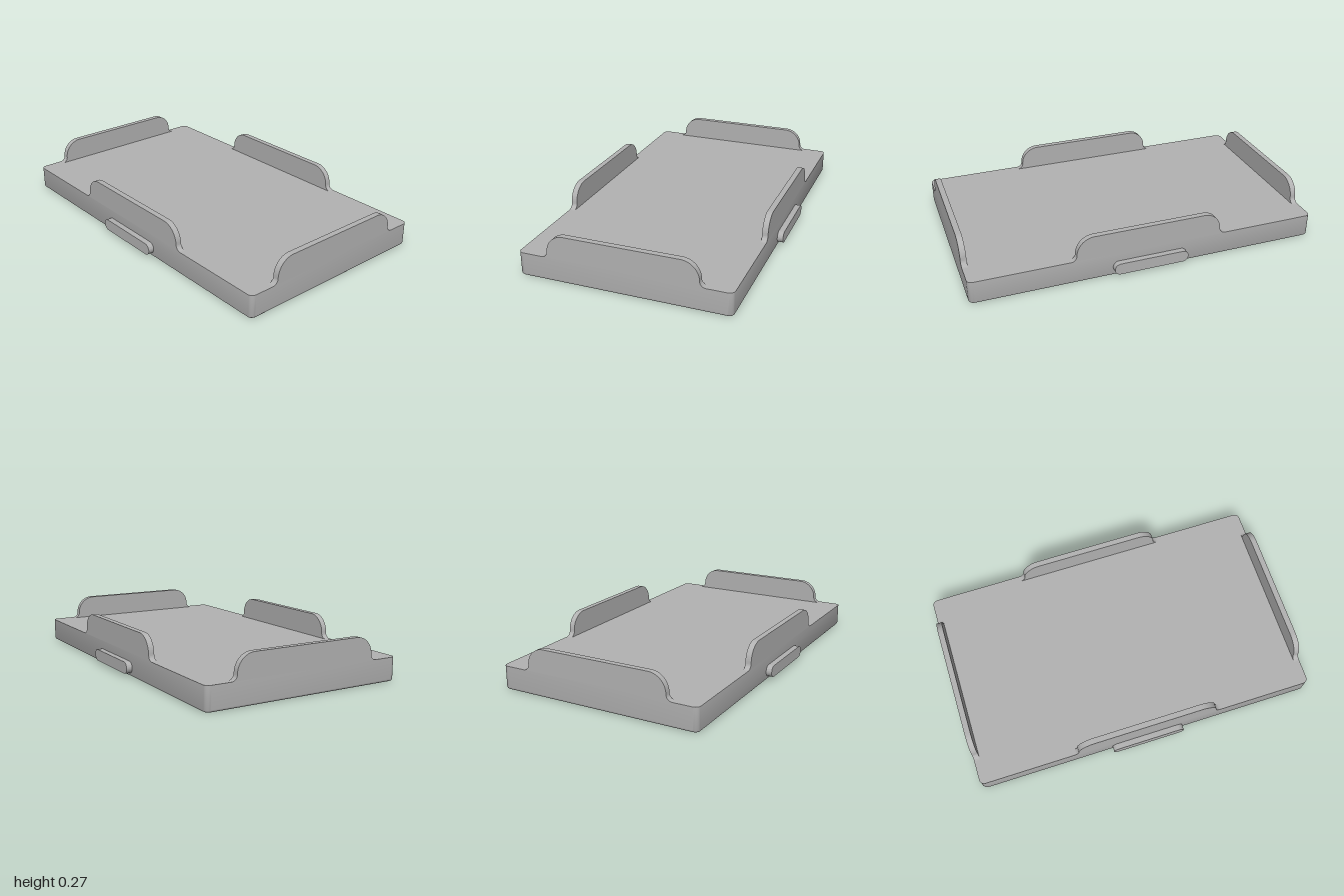
import * as THREE from 'three';
import { toCreasedNormals } from 'three/addons/utils/BufferGeometryUtils.js';

const HALF_W = 0.59, HALF_L = 1, DECK = 0.134;
const CORNER = 0.03, FILLET = 0.015, WALL = 0.033;

// Rounded rectangle outline at height y, pulled in by inset
function outline(inset, y) {
  const points = [], steps = 6, r = CORNER - inset;
  const signs = [[1, 1], [-1, 1], [-1, -1], [1, -1]];
  signs.forEach(([sx, sz], corner) => {
    for (let i = 0; i <= steps; i++) {
      const a = (corner + i / steps) * Math.PI / 2;
      points.push([
        sx * (HALF_W - CORNER) + r * Math.cos(a), y,
        sz * (HALF_L - CORNER) + r * Math.sin(a),
      ]);
    }
  });
  return points;
}

// Slab with rounded corners and a rounded lower edge, sharp on top
function slabGeometry() {
  const rings = [];
  for (let i = 0; i <= 5; i++) {
    const a = i / 5 * Math.PI / 2;
    rings.push(outline(FILLET * (1 - Math.sin(a)), FILLET * (1 - Math.cos(a))));
  }
  rings.push(outline(0, DECK));
  const positions = [];
  const tri = (a, b, c) => positions.push(...a, ...b, ...c);
  const n = rings[0].length, last = rings[rings.length - 1];
  for (let j = 0; j < n; j++) {
    const k = (j + 1) % n;
    for (let i = 0; i < rings.length - 1; i++) {
      const low = rings[i], high = rings[i + 1];
      tri(low[j], high[j], low[k]);
      tri(low[k], high[j], high[k]);
    }
    tri([0, 0, 0], rings[0][j], rings[0][k]);
    tri([0, DECK, 0], last[k], last[j]);
  }
  const geometry = new THREE.BufferGeometry();
  geometry.setAttribute('position', new THREE.Float32BufferAttribute(positions, 3));
  return toCreasedNormals(geometry, 0.6);
}

// Retaining wall: flared foot, rounded shoulders, outer face at z = 0
function wallGeometry() {
  const foot = 0.033, shoulder = 0.1, side = 0.417, q = Math.PI / 2;
  const y = DECK + foot, s = new THREE.Shape();
  s.moveTo(-side - foot, DECK);
  s.lineTo(side + foot, DECK);
  s.absarc(side + foot, y, foot, -q, -2 * q, true);
  s.absarc(side - shoulder, y, shoulder, 0, q, false);
  s.absarc(-side + shoulder, y, shoulder, q, 2 * q, false);
  s.absarc(-side - foot, y, foot, 0, -q, true);
  const geometry = new THREE.ExtrudeGeometry(s, { depth: WALL, bevelEnabled: false, curveSegments: 12 });
  geometry.translate(0, 0, -WALL);
  return toCreasedNormals(geometry, 0.6);
}

// Pill-shaped side rail, standing out from z = 0
function railGeometry() {
  const r = 0.033, half = 0.215 - r, q = Math.PI / 2, s = new THREE.Shape();
  s.absarc(half, 0.052, r, -q, q, false);
  s.absarc(-half, 0.052, r, q, 3 * q, false);
  s.closePath();
  const geometry = new THREE.ExtrudeGeometry(s, { depth: 0.033, bevelEnabled: false, curveSegments: 12 });
  return toCreasedNormals(geometry, 0.6);
}

export function createModel() {
  const model = new THREE.Group();
  model.name = 'tray';
  const grey = new THREE.MeshStandardMaterial({ color: 0xb2b2b2 });
  grey.name = 'grey';

  const add = (name, geometry, turn = 0, distance = 0) => {
    const mesh = new THREE.Mesh(geometry, grey);
    mesh.name = name;
    mesh.rotation.y = turn;
    mesh.position.set(Math.sin(turn) * distance, 0, Math.cos(turn) * distance);
    model.add(mesh);
  };

  add('baseSlab', slabGeometry());

  // One wall per side, and a rail on the two long sides
  const wall = wallGeometry(), rail = railGeometry();
  ['front', 'left', 'back', 'right'].forEach((side, i) => {
    const turn = i * Math.PI / 2, distance = i % 2 ? HALF_W : HALF_L;
    add(side + 'Wall', wall, turn, distance);
    if (i % 2) add(side + 'Rail', rail, turn, distance);
  });
  return model;
}
